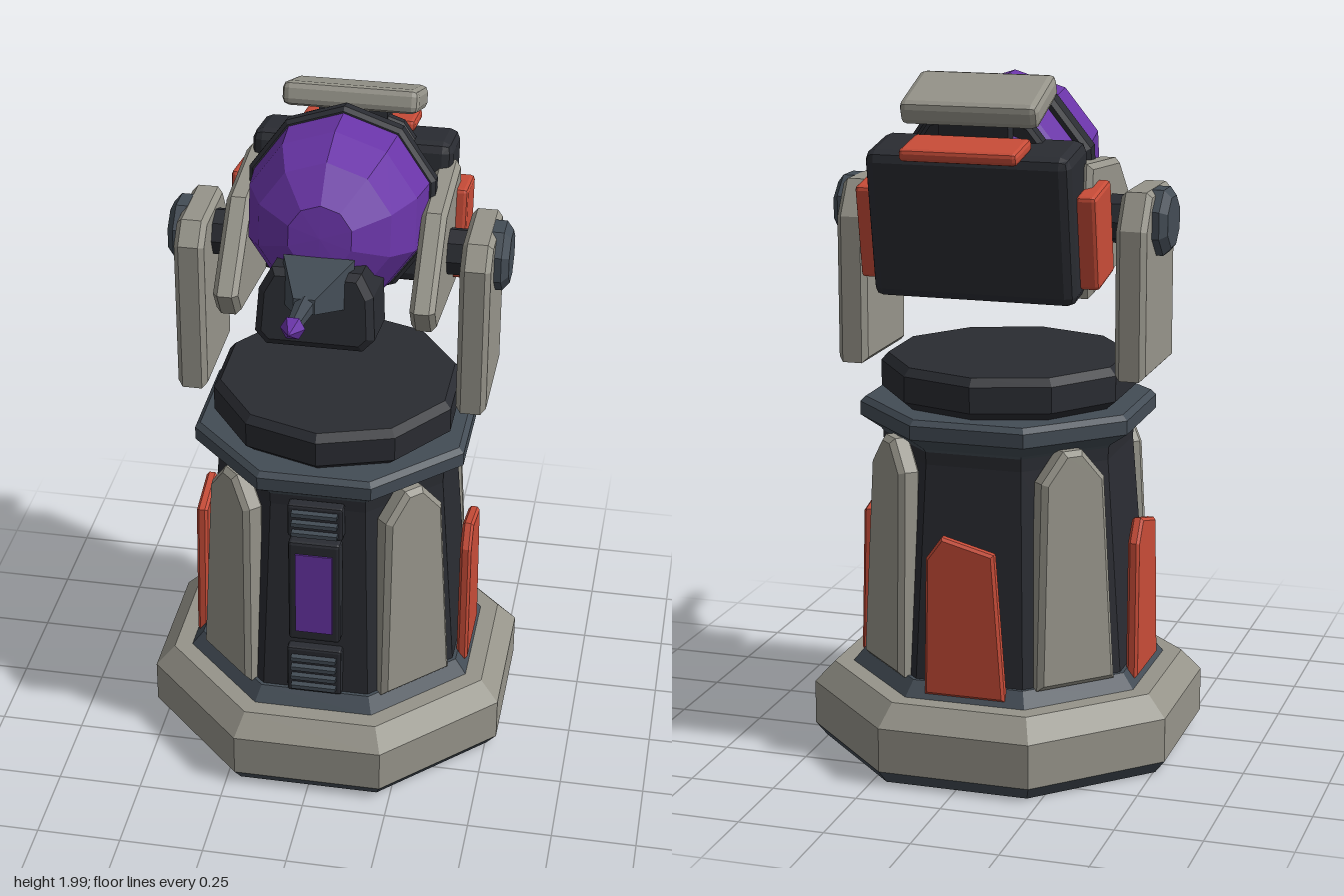
import * as THREE from 'three';
import { RoundedBoxGeometry } from 'three/addons/geometries/RoundedBoxGeometry.js';

const paint = (color) => {
  const m = new THREE.MeshStandardMaterial({ flatShading: true });
  m.color.set(color);
  return m;
};
const dark = paint(0x2a2c32), steel = paint(0x434c55), grey = paint(0x96948a);
const red = paint(0xc84c38), purple = paint(0x6a35a8);

const OCT = Math.cos(Math.PI / 8);
const CENTRE_Z = -0.105;

function add(parent, name, geometry, material, x = 0, y = 0, z = 0) {
  const mesh = new THREE.Mesh(geometry, material);
  mesh.name = name;
  mesh.position.set(x, y, z);
  parent.add(mesh);
  return mesh;
}

// Faceted solid of revolution from [radius, height] pairs
const turned = (profile, sides, phase = 0) =>
  new THREE.LatheGeometry(profile.map(([r, y]) => new THREE.Vector2(r, y)), sides, phase);

// Octagonal version, flat sides on the axes, radii given to the flats
const octagon = (profile) => turned(profile.map(([r, y]) => [r / OCT, y]), 8, Math.PI / 8);

// Bevelled outline, extruded along z and centred on z = 0
function plate(points, depth, bevel = 0.012) {
  const shape = new THREE.Shape(points.map(([x, y]) => new THREE.Vector2(x, y)));
  const g = new THREE.ExtrudeGeometry(shape, {
    depth: depth - 2 * bevel, bevelEnabled: true, bevelSegments: 1,
    bevelSize: bevel, bevelThickness: bevel, bevelOffset: -bevel,
  });
  return g.translate(0, 0, bevel - depth / 2);
}

// Outline in (z, y), extruded along x
const sidePlate = (points, depth, bevel) => plate(points, depth, bevel).rotateY(-Math.PI / 2);

const chamferBox = (w, h, d, c = 0.02) => new RoundedBoxGeometry(w, h, d, 1, c);

function buildPedestal() {
  const g = new THREE.Group();
  g.name = 'pedestal';
  g.position.z = CENTRE_Z;

  add(g, 'baseUnderside', octagon([[0, 0], [0.505, 0], [0.535, 0.04]]), steel);
  add(g, 'baseSlab', octagon([[0.535, 0.04], [0.535, 0.17], [0.48, 0.232], [0, 0.232]]), grey);
  add(g, 'bodySkirt', octagon([[0.43, 0.23], [0.395, 0.275], [0.36, 0.275]]), steel);
  add(g, 'body', octagon([[0.385, 0.27], [0.338, 0.9], [0.34, 0.95]]), dark);
  add(g, 'collar', octagon([[0.335, 0.93], [0.345, 0.945], [0.4, 0.985], [0.4, 1.025], [0.385, 1.04], [0, 1.04]]), steel);
  add(g, 'turntable', turned([[0.34, 1.04], [0.37, 1.065], [0.37, 1.14], [0.35, 1.163], [0, 1.163]], 10), dark);

  // Tall grey armour on the four diagonal faces
  const tall = [[-0.125, 0.27], [0.125, 0.27], [0.1, 0.87], [0.03, 0.955], [-0.03, 0.955], [-0.1, 0.87]];
  for (let i = 0; i < 4; i++) {
    const holder = new THREE.Group();
    holder.name = 'armourPanel';
    holder.rotation.y = Math.PI / 4 + i * Math.PI / 2;
    g.add(holder);
    const panel = add(holder, 'armourPlate', plate(tall, 0.07, 0.015), grey, 0, 0, 0.395);
    panel.rotation.x = -0.035;
  }

  // Short red panels on the sides and back
  const short = [[-0.122, 0.245], [0.117, 0.245], [0.085, 0.675], [-0.068, 0.715], [-0.115, 0.65]];
  for (let i = 1; i < 4; i++) {
    const holder = new THREE.Group();
    holder.name = 'redPanel';
    holder.rotation.y = i * Math.PI / 2;
    g.add(holder);
    add(holder, 'redPlate', plate(short, 0.034, 0.008), red, 0, 0, 0.408);
  }

  // Front light and slatted vents
  add(g, 'lightFrame', chamferBox(0.155, 0.35, 0.05, 0.01), dark, 0, 0.64, 0.378);
  add(g, 'lightPanel', new THREE.BoxGeometry(0.11, 0.275, 0.01), purple, 0, 0.638, 0.403);
  const vents = [[0.355, 0.16, 0.385, 4], [0.875, 0.11, 0.362, 3]];
  for (const [y, h, z, count] of vents) {
    add(g, 'ventPlate', chamferBox(0.165, h, 0.04, 0.008), dark, 0, y, z);
    for (let i = 0; i < count; i++) {
      const slatY = y + (i - (count - 1) / 2) * 0.034;
      add(g, 'ventSlat', new THREE.BoxGeometry(0.135, 0.013, 0.03), steel, 0, slatY, z + 0.025);
    }
  }
  return g;
}

function buildYoke() {
  const g = new THREE.Group();
  g.name = 'yoke';
  const arm = [[0.035, 1.145], [0.035, 1.61], [-0.02, 1.67], [-0.24, 1.67], [-0.302, 1.57], [-0.302, 1.145]];
  for (const s of [1, -1]) {
    add(g, 'yokeArm', sidePlate(arm, 0.088, 0.015), grey, s * 0.411, 0, 0);
    const bolt = octagon([[0.0925, 0], [0.0925, 0.04], [0.07, 0.06], [0, 0.06]]);
    add(g, 'pivotBolt', bolt.rotateZ(-Math.PI / 2), steel, s * 0.435, 1.577, -0.142).rotation.y = s > 0 ? 0 : Math.PI;
    const axle = new THREE.CylinderGeometry(0.07, 0.07, 0.12, 8).rotateZ(Math.PI / 2);
    add(g, 'axle', axle, dark, s * 0.335, 1.577, -0.142);
  }
  return g;
}

function buildHead() {
  const g = new THREE.Group();
  g.name = 'head';
  g.position.set(0, 1.575, -0.14);
  g.rotation.x = -0.175;
  const forward = (geometry) => geometry.rotateX(Math.PI / 2);

  // Faceted purple shell and its straps
  const shell = [[0, -0.3], [0.09, -0.29], [0.19, -0.22], [0.245, -0.12], [0.266, 0.03],
    [0.25, 0.165], [0.195, 0.285], [0.093, 0.358], [0, 0.362]];
  add(g, 'shell', forward(turned(shell, 10)), purple, 0, 0.125, 0);
  const strap = (r, w) => forward(turned([[r - 0.05, -w], [r - 0.012, -w], [r, -w * 0.6], [r, w * 0.6],
    [r - 0.012, w], [r - 0.05, w]], 10));
  add(g, 'frontStrap', strap(0.283, 0.033), dark, 0, 0.125, -0.003);
  add(g, 'rearStrap', strap(0.248, 0.025), dark, 0, 0.125, -0.17);

  // Rear housing and covers
  add(g, 'rearHousing', chamferBox(0.588, 0.428, 0.205, 0.03), dark, 0, 0.064, -0.229);
  add(g, 'redRearCover', chamferBox(0.335, 0.036, 0.15, 0.012), red, 0, 0.291, -0.315);
  add(g, 'topCover', chamferBox(0.395, 0.07, 0.215, 0.02), grey, 0, 0.391, -0.175).rotation.x = -0.175;
  add(g, 'topCoverMount', new THREE.BoxGeometry(0.2, 0.12, 0.1), dark, 0, 0.315, -0.19);

  // Cheeks and red side covers
  const cheek = [[0.285, -0.096], [0.11, 0.145], [-0.18, 0.22], [-0.2, 0.15], [-0.23, -0.155], [0.22, -0.168]];
  for (const s of [1, -1]) {
    add(g, 'cheekPlate', sidePlate(cheek, 0.072, 0.015), grey, s * 0.28, 0, 0);
    add(g, 'redSideCover', chamferBox(0.06, 0.27, 0.166, 0.012), red, s * 0.318, 0.02, -0.188);
  }

  // Jaw block holding the barrel
  const jaw = [[-0.135, -0.18], [0.135, -0.18], [0.168, -0.145], [0.16, -0.02], [0.125, 0.045],
    [-0.125, 0.045], [-0.16, -0.02], [-0.168, -0.145]];
  add(g, 'jaw', plate(jaw, 0.22, 0.02), dark, 0, 0, 0.3);

  // Barrel, narrowing to a pointed tip
  const taper = new THREE.CylinderGeometry(0.042, 0.141, 0.215, 4).rotateY(Math.PI / 4);
  add(g, 'barrelBase', forward(taper).scale(1, 0.7, 1), steel, 0, 0.002, 0.465);
  add(g, 'barrel', forward(new THREE.CylinderGeometry(0.02, 0.03, 0.15, 6)), steel, 0, -0.001, 0.635);
  add(g, 'barrelTip', forward(turned([[0, -0.045], [0.018, -0.04], [0.034, 0], [0, 0.06]], 6, Math.PI / 6)), purple, 0, -0.004, 0.727);
  return g;
}

export function createModel() {
  const model = new THREE.Group();
  model.name = 'sentryTurret';
  model.add(buildPedestal(), buildYoke(), buildHead());
  return model;
}
